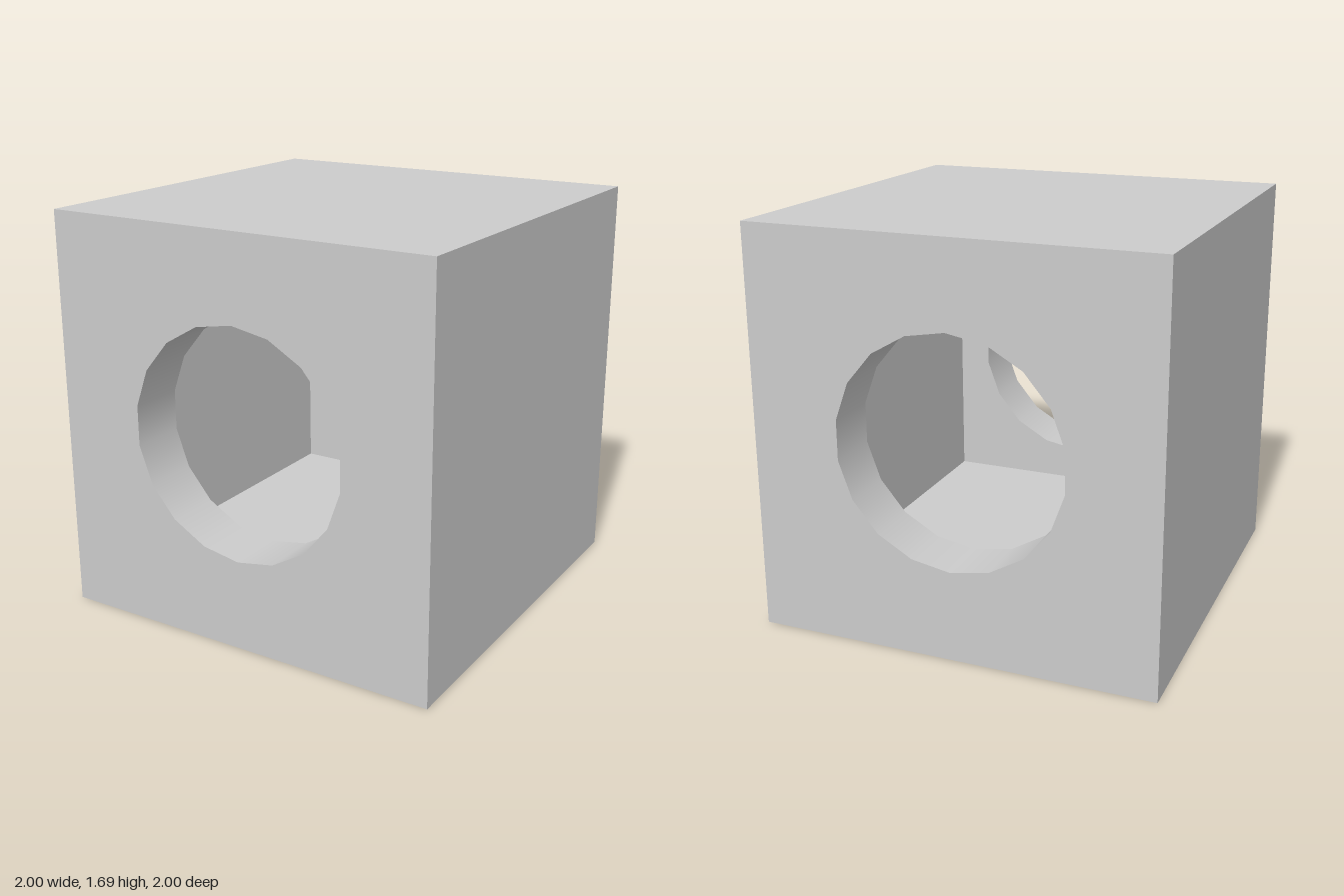
import * as THREE from 'three';

const SIZE = 1.687;         // outer cube edge
const WALL = 0.233;         // wall thickness
const HOLE_R = 0.478;       // round opening
const HOLE_Y = 0.013;       // opening sits slightly above the middle
const SIDES = 18;
const TURN = THREE.MathUtils.degToRad(12);

const material = new THREE.MeshStandardMaterial({ color: 0xcccccc });
const boreMaterial = new THREE.MeshStandardMaterial({ color: 0xcccccc, side: THREE.DoubleSide });

function add(parent, name, geometry, mat = material) {
  const mesh = new THREE.Mesh(geometry, mat);
  mesh.name = name;
  parent.add(mesh);
  return mesh;
}

// Square face with the polygonal opening cut out, facing +z
function piercedFace(size) {
  const h = size / 2;
  const shape = new THREE.Shape([[-h, -h], [h, -h], [h, h], [-h, h]].map(p => new THREE.Vector2(...p)));
  const ring = [];
  for (let i = 0; i < SIDES; i++) {
    const a = Math.PI / 2 - (i / SIDES) * Math.PI * 2;
    ring.push(new THREE.Vector2(HOLE_R * Math.cos(a), HOLE_Y + HOLE_R * Math.sin(a)));
  }
  shape.holes.push(new THREE.Path(ring));
  return new THREE.ShapeGeometry(shape);
}

// One pierced wall: outer face, inner face and the smooth bore between them
function piercedWall(name) {
  const wall = new THREE.Group();
  wall.name = name;
  const outer = SIZE / 2, inner = outer - WALL;
  add(wall, 'outerFace', piercedFace(SIZE).translate(0, 0, outer));
  add(wall, 'innerFace', piercedFace(inner * 2).rotateY(Math.PI).translate(0, 0, inner));
  const bore = new THREE.CylinderGeometry(HOLE_R, HOLE_R, WALL, SIDES, 1, true);
  bore.rotateX(Math.PI / 2).translate(0, HOLE_Y, (outer + inner) / 2);
  add(wall, 'bore', bore, boreMaterial);
  return wall;
}

export function createModel() {
  const model = new THREE.Group();
  model.name = 'hollowCube';
  const cube = new THREE.Group();
  cube.name = 'shell';
  cube.position.y = SIZE / 2;
  cube.rotation.y = TURN;
  model.add(cube);

  // Front and back walls with round openings
  cube.add(piercedWall('frontWall'));
  const back = piercedWall('backWall');
  back.rotation.y = Math.PI;
  cube.add(back);

  // Closed walls: outer skin and cavity lining
  const cavity = SIZE - 2 * WALL;
  ['leftWall', 'top', 'rightWall', 'bottom'].forEach((name, i) => {
    const wall = new THREE.Group();
    wall.name = name;
    wall.rotation.z = (i * Math.PI) / 2;
    add(wall, 'outerFace', new THREE.PlaneGeometry(SIZE, SIZE).rotateY(Math.PI / 2).translate(SIZE / 2, 0, 0));
    add(wall, 'innerFace', new THREE.PlaneGeometry(cavity, cavity).rotateY(-Math.PI / 2).translate(cavity / 2, 0, 0));
    cube.add(wall);
  });
  return model;
}
